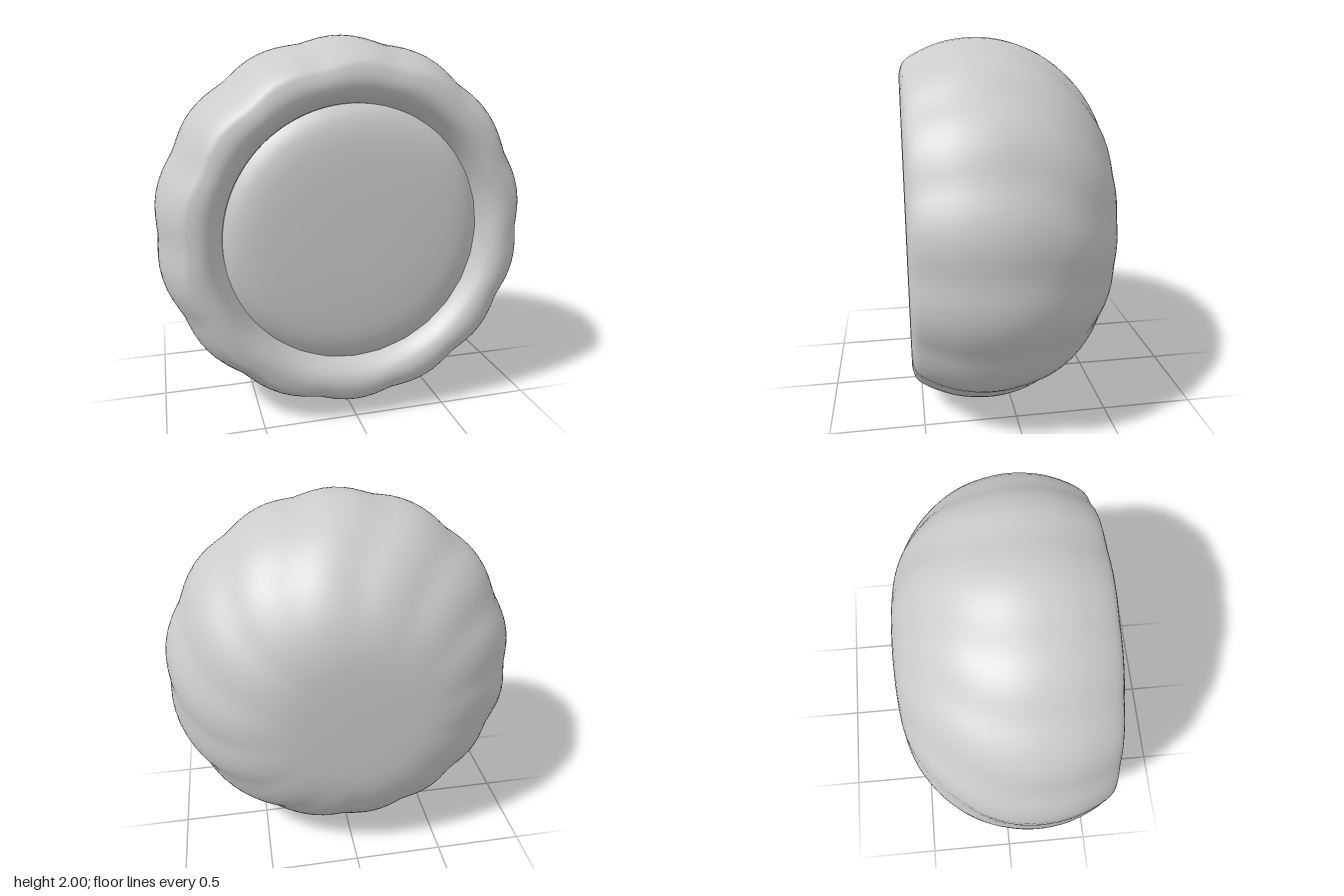
import * as THREE from 'three';
import { mergeVertices } from 'three/addons/utils/BufferGeometryUtils.js';

const LOBES = 14;
const { smoothstep } = THREE.MathUtils;

// Revolve a [radius, z] profile around the z axis.
function revolve(points, steps, segments) {
  const curve = new THREE.SplineCurve(points.map(([r, z]) => new THREE.Vector2(r, z)));
  const profile = curve.getPoints(steps).map((p) => p.set(Math.max(p.x, 0), p.y));
  return new THREE.LatheGeometry(profile, segments).rotateX(Math.PI / 2);
}

// Weld the seam and give the surface continuous normals.
function smooth(geometry) {
  geometry.deleteAttribute('uv');
  geometry.deleteAttribute('normal');
  const welded = mergeVertices(geometry, 1e-4);
  welded.computeVertexNormals();
  return welded;
}

// Press soft lobes into the shell; they swirl slightly towards the back centre.
function addLobes(geometry) {
  const pos = geometry.attributes.position;
  for (let i = 0; i < pos.count; i++) {
    const x = pos.getX(i), y = pos.getY(i), z = pos.getZ(i);
    const r = Math.hypot(x, y);
    if (r < 1e-4) continue;
    const swirl = 0.24 * (1 - smoothstep(z, -0.58, 0.05));
    const c = Math.cos((Math.atan2(x, y) - swirl) * LOBES / 2);
    const wave = 2 * Math.sqrt(0.05 + 0.95 * c * c) - 1;
    // The lobes fade out at the back centre and inside the lip.
    const fade = z > 0.3 ? smoothstep(r, 0.67, 0.9) : smoothstep(r, 0.25, 0.8);
    const k = 1 + 0.013 * fade * wave / r;
    pos.setXYZ(i, x * k, y * k, z);
  }
}

export function createModel() {
  const group = new THREE.Group();
  group.name = 'lobedCushion';
  const material = new THREE.MeshStandardMaterial({ color: 0xcccccc, side: THREE.DoubleSide });

  // Domed outer shell, rolling over a rounded rim down to the pad
  const shellGeometry = revolve([
    [0, -0.555], [0.22, -0.553], [0.42, -0.54], [0.58, -0.49], [0.72, -0.4],
    [0.83, -0.29], [0.915, -0.16], [0.968, -0.01], [0.987, 0.14], [0.97, 0.3],
    [0.925, 0.43], [0.873, 0.52], [0.83, 0.546], [0.78, 0.554], [0.735, 0.538],
    [0.7, 0.5], [0.678, 0.455], [0.665, 0.39],
  ], 64, LOBES * 8);
  addLobes(shellGeometry);
  const shell = new THREE.Mesh(smooth(shellGeometry), material);
  shell.name = 'lobedShell';

  // Domed pad filling the opening, its edge tucked under the lip
  const padGeometry = revolve([
    [0.7, 0.41], [0.665, 0.45], [0.61, 0.487], [0.52, 0.512], [0.38, 0.524], [0.2, 0.53], [0, 0.53],
  ], 20, LOBES * 2);
  const pad = new THREE.Mesh(smooth(padGeometry), material);
  pad.name = 'frontPad';

  for (const part of [shell, pad]) {
    part.position.y = 1;
    group.add(part);
  }
  return group;
}
